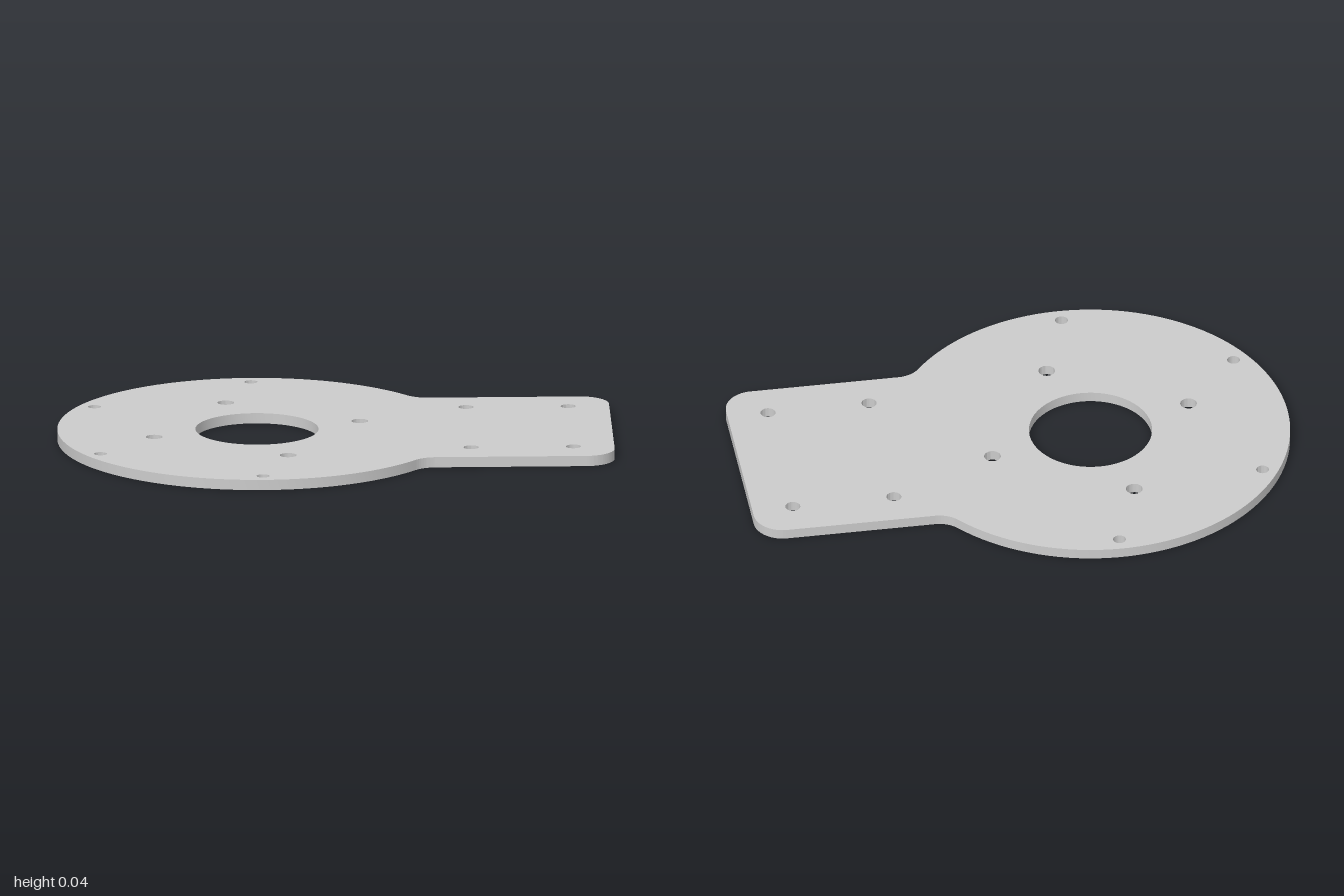
import * as THREE from 'three';
import { toCreasedNormals } from 'three/addons/utils/BufferGeometryUtils.js';

const THICK = 0.038;
const R = 0.72;                       // disc radius
const ARM_END = 1.28, ARM_HALF = 0.42; // arm reach and half width
const CORNER = 0.105, FILLET = 0.1;

// Outline in the arm's own frame: disc centre at the origin, arm along +x
function plateOutline() {
  const fu = Math.sqrt((R + FILLET) ** 2 - (ARM_HALF + FILLET) ** 2);
  const fv = ARM_HALF + FILLET;
  const a = Math.atan2(fv, fu);       // where the disc meets the fillet
  const cu = ARM_END - CORNER, cv = ARM_HALF - CORNER;
  const s = new THREE.Shape();
  s.absarc(0, 0, R, a, 2 * Math.PI - a, false);
  s.absarc(fu, -fv, FILLET, Math.PI - a, Math.PI / 2, true);
  s.absarc(cu, -cv, CORNER, -Math.PI / 2, 0, false);
  s.absarc(cu, cv, CORNER, 0, Math.PI / 2, false);
  s.absarc(fu, fv, FILLET, -Math.PI / 2, a - Math.PI, true);
  s.closePath();
  return s;
}

export function createModel() {
  const group = new THREE.Group();
  group.name = 'mountingPlate';

  const shape = plateOutline();
  const hole = (x, y, r) => {
    const p = new THREE.Path();
    p.absarc(x, y, r, 0, 2 * Math.PI, true);
    shape.holes.push(p);
  };
  const polarHole = (radius, deg, r) => {
    const t = THREE.MathUtils.degToRad(deg);
    hole(radius * Math.cos(t), radius * Math.sin(t), r);
  };

  // Centre bore, bolt holes around it, and rim holes
  hole(0, 0, 0.222);
  for (const deg of [15, 105, 195, 285]) polarHole(0.387, deg, 0.03);
  for (const deg of [90, 150, 210, 270]) polarHole(0.664, deg, 0.023);
  // Four holes on the arm
  for (const u of [0.763, 1.132]) for (const v of [-0.284, 0.284]) hole(u, v, 0.027);

  // Extrude, turn the arm to the back left and lay the plate flat
  let geo = new THREE.ExtrudeGeometry(shape, { depth: THICK, bevelEnabled: false, curveSegments: 48 });
  geo.rotateZ(Math.PI / 6);
  geo.rotateX(-Math.PI / 2);
  geo.translate(-0.28, 0, 0.12);
  geo = toCreasedNormals(geo, Math.PI / 6);

  const plate = new THREE.Mesh(geo, new THREE.MeshStandardMaterial({ color: 0xcccccc }));
  plate.name = 'plate';
  group.add(plate);
  return group;
}
